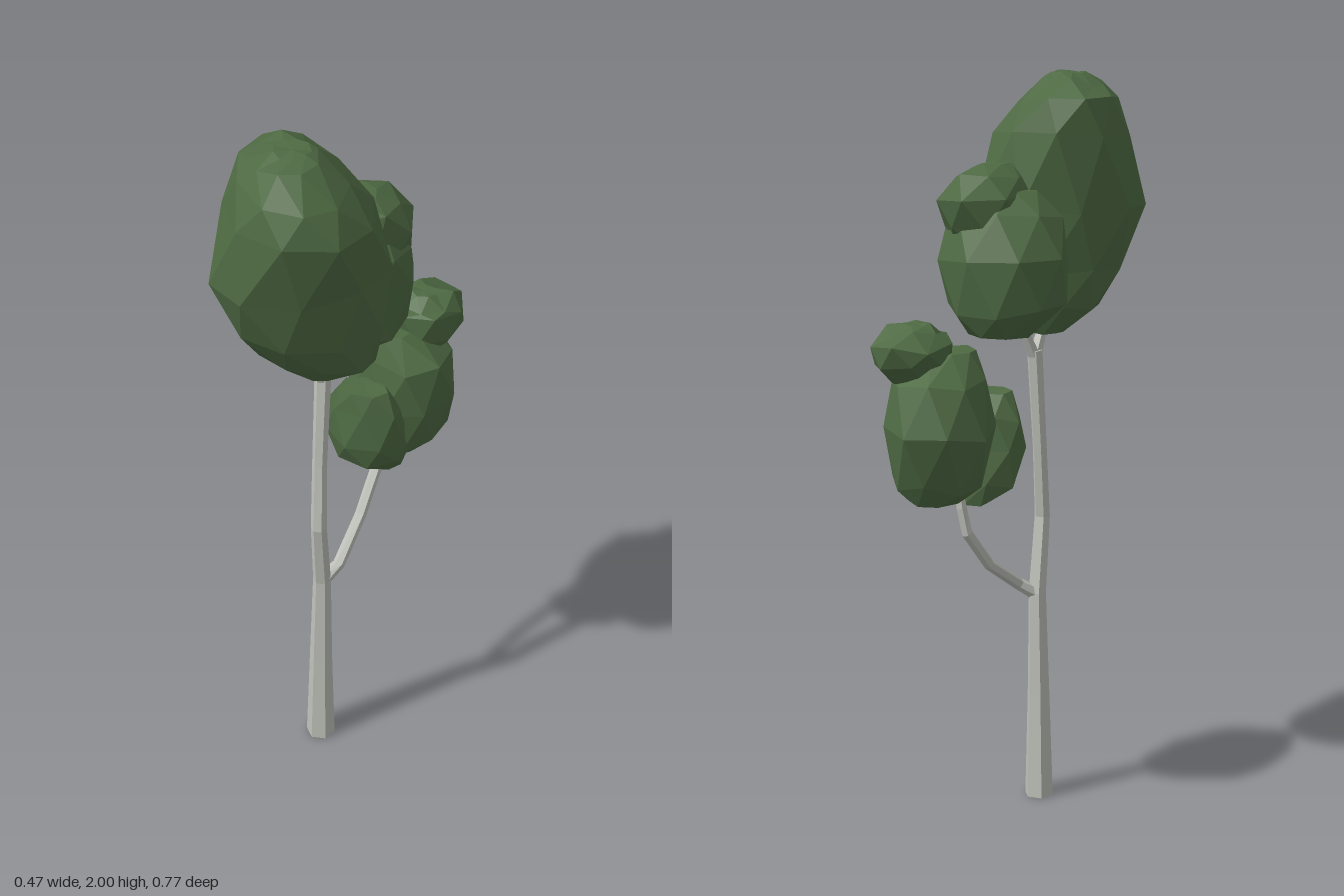
import * as THREE from 'three';

// Seeded random numbers in -1..1
let seed = 7;
const rand = () => {
  seed = (seed * 16807) % 2147483647;
  return (seed / 2147483647) * 2 - 1;
};

// Closed faceted skin over loops of points, listed from bottom to top
function loft(loops) {
  const n = loops[0].length;
  const pos = [];
  const tri = (...pts) => pts.forEach((p) => pos.push(p.x, p.y, p.z));
  const middle = (loop) => loop.reduce((s, p) => s.add(p), new THREE.Vector3()).divideScalar(n);
  const first = loops[0], last = loops[loops.length - 1];
  const low = middle(first), high = middle(last);
  for (let i = 0; i < n; i++) {
    const j = (i + 1) % n;
    tri(low, first[i], first[j]);
    tri(high, last[j], last[i]);
    for (let k = 0; k < loops.length - 1; k++) {
      const a = loops[k], b = loops[k + 1];
      tri(a[i], b[i], a[j]);
      tri(a[j], b[i], b[j]);
    }
  }
  const geo = new THREE.BufferGeometry();
  geo.setAttribute('position', new THREE.Float32BufferAttribute(pos, 3));
  geo.computeVertexNormals();
  return geo;
}

// Leaf clump: each ring is [y, xMin, xMax, zMin, zMax, skew], bottom to top, staggered.
// Skew stretches the ring along one diagonal while keeping its x and z extents.
function clump(rings, sides = 8) {
  return loft(rings.map(([y, x0, x1, z0, z1, skew = 0], k) => {
    const end = k === 0 || k === rings.length - 1;
    return Array.from({ length: sides }, (_, i) => {
      const a = ((i + k * 0.5) / sides) * Math.PI * 2;
      const r = 1.03 + 0.04 * rand();
      return new THREE.Vector3(
        (x0 + x1) / 2 + ((x1 - x0) / 2) * r * Math.cos(a - skew),
        y + (end ? 0.004 : 0.016) * rand(),
        (z0 + z1) / 2 + ((z1 - z0) / 2) * r * Math.sin(a + skew));
    });
  }));
}

// Six-sided tapering limb along points [x, y, z, radius]
function limb(points, sides = 6) {
  const up = new THREE.Vector3(0, 1, 0);
  const at = (k) => new THREE.Vector3(...points[k].slice(0, 3));
  return loft(points.map((p, k) => {
    const dir = at(Math.min(k + 1, points.length - 1)).sub(at(Math.max(k - 1, 0))).normalize();
    const turn = new THREE.Quaternion().setFromUnitVectors(up, p[1] === 0 ? up : dir);
    return Array.from({ length: sides }, (_, i) => {
      const a = (i / sides) * Math.PI * 2 + Math.PI / 4;
      return new THREE.Vector3(Math.cos(a), 0, Math.sin(a))
        .multiplyScalar(p[3]).applyQuaternion(turn).add(at(k));
    });
  }));
}

export function createModel() {
  const bark = new THREE.MeshStandardMaterial({ color: 0xbfc1ba, flatShading: true });
  bark.name = 'paleBark';
  const leaf = new THREE.MeshStandardMaterial({ color: 0x4e6a43, flatShading: true });
  leaf.name = 'leafGreen';

  const tree = new THREE.Group();
  tree.name = 'tree';
  const add = (name, geo, mat) => {
    const mesh = new THREE.Mesh(geo, mat);
    mesh.name = name;
    tree.add(mesh);
  };

  // Trunk with its fork, and the side branch
  add('trunk', limb([
    [-0.025, 0, 0.1, 0.041], [-0.022, 0.3, 0.1, 0.032], [-0.017, 0.59, 0.1, 0.025],
    [-0.01, 0.8, 0.132, 0.022], [-0.017, 1.0, 0.109, 0.02], [-0.018, 1.27, 0.083, 0.022],
  ]), bark);
  add('frontFork', limb([[-0.018, 1.25, 0.083, 0.018], [-0.02, 1.31, 0.108, 0.015], [-0.02, 1.38, 0.13, 0.01]]), bark);
  add('backFork', limb([[-0.018, 1.25, 0.083, 0.018], [-0.01, 1.31, 0.055, 0.015], [0, 1.38, 0.02, 0.01]]), bark);
  add('sideBranch', limb([
    [-0.015, 0.585, 0.1, 0.02], [0.014, 0.62, 0.055, 0.017], [0.022, 0.705, -0.07, 0.016],
    [0.03, 0.81, -0.155, 0.016], [0.04, 0.88, -0.165, 0.015], [0.045, 0.94, -0.17, 0.01],
  ]), bark);

  // Tall crown, leaning forward and twisting towards the top
  add('mainCrown', clump([
    [1.315, -0.07, 0.04, 0.08, 0.17], [1.38, -0.15, 0.14, 0.04, 0.24, -0.1],
    [1.49, -0.19, 0.165, 0, 0.32, -0.15], [1.65, -0.23, 0.172, -0.01, 0.375, -0.15],
    [1.84, -0.21, 0.172, 0.01, 0.38, 0.05], [1.925, -0.19, 0.12, 0.05, 0.36, 0.15],
    [1.97, -0.14, 0.04, 0.11, 0.31, 0.15], [1.994, -0.08, 0.01, 0.16, 0.25],
  ], 9), leaf);

  // Rear crown, pressed against the tall one, and its upper bulge
  add('rearCrown', clump([
    [1.33, -0.08, 0.09, -0.12, 0.04], [1.4, -0.16, 0.155, -0.16, 0.11],
    [1.54, -0.175, 0.178, -0.18, 0.12], [1.64, -0.14, 0.165, -0.13, 0.12],
    [1.71, -0.08, 0.11, -0.08, 0.09],
  ]), leaf);
  add('rearCrownBulge', clump([
    [1.57, -0.02, 0.12, -0.13, 0.03], [1.62, -0.06, 0.16, -0.155, 0.08],
    [1.68, -0.07, 0.165, -0.18, 0.09], [1.735, -0.04, 0.13, -0.13, 0.08],
    [1.77, 0, 0.08, -0.07, 0.04],
  ], 7), leaf);

  // Low crown on the side branch with two bulges
  add('lowCrown', clump([
    [0.905, 0.02, 0.15, -0.29, -0.13], [0.955, -0.03, 0.2, -0.33, -0.08],
    [1.1, -0.08, 0.232, -0.37, -0.05, 0.1], [1.23, -0.05, 0.22, -0.33, -0.06, 0.1],
    [1.3, 0.01, 0.13, -0.24, -0.1],
  ]), leaf);
  add('lowCrownTopBulge', clump([
    [1.22, 0.07, 0.19, -0.3, -0.19], [1.27, 0.03, 0.22, -0.36, -0.15],
    [1.325, 0.025, 0.22, -0.375, -0.15], [1.36, 0.06, 0.2, -0.32, -0.17],
    [1.375, 0.09, 0.16, -0.27, -0.21],
  ], 7), leaf);
  add('lowCrownFrontBulge', clump([
    [0.88, 0, 0.12, -0.15, -0.08], [0.94, -0.055, 0.15, -0.15, 0],
    [1.02, -0.07, 0.155, -0.14, 0.03], [1.11, -0.06, 0.145, -0.12, 0.02],
    [1.175, -0.02, 0.11, -0.08, 0.01],
  ], 7), leaf);

  return tree;
}
